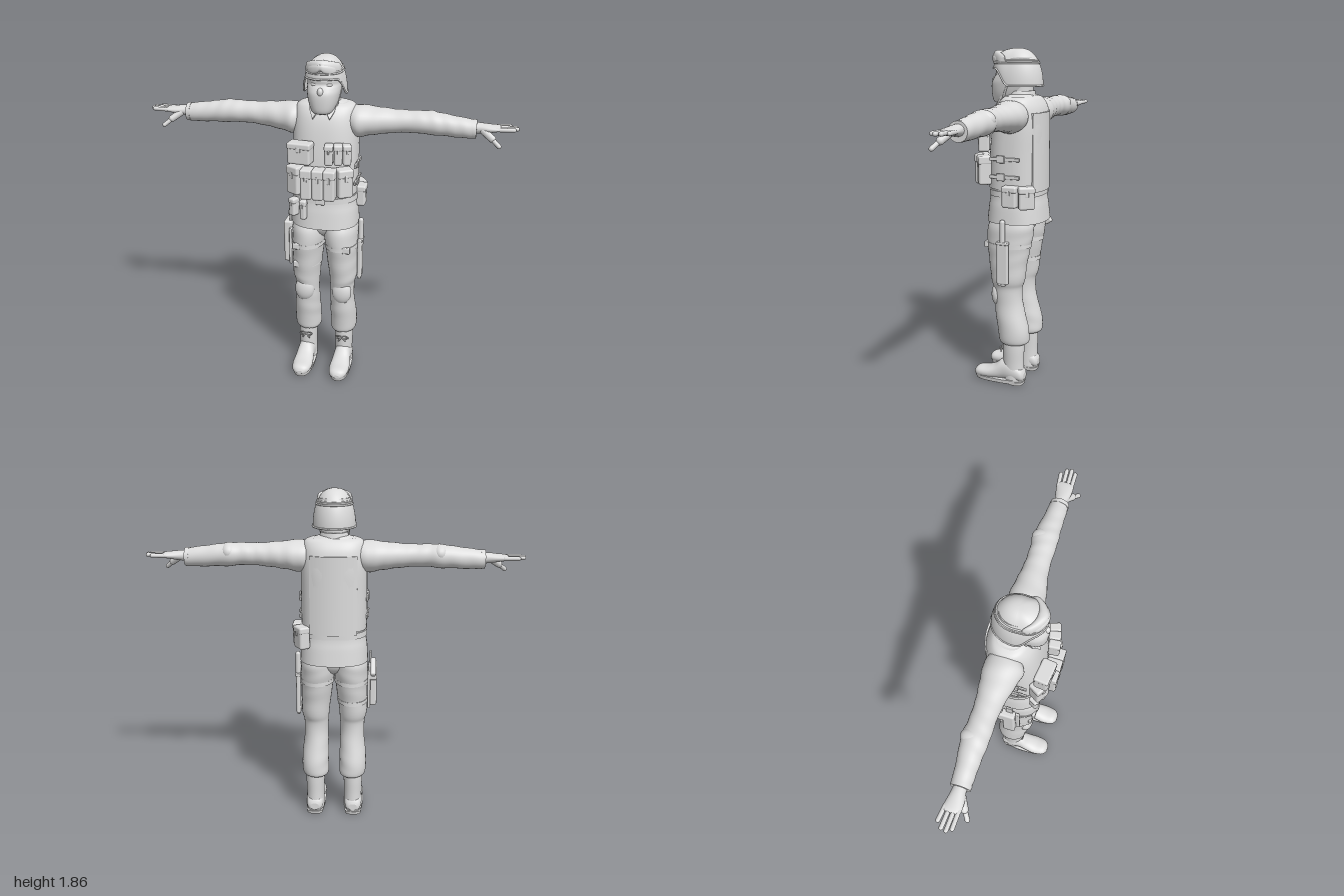
import * as THREE from 'three';
import { RoundedBoxGeometry } from 'three/addons/geometries/RoundedBoxGeometry.js';

const grey = new THREE.MeshStandardMaterial({ color: 0xdcdcdc });
grey.name = 'plain grey';
const greyThin = grey.clone();
greyThin.side = THREE.DoubleSide;

// Smooth tube of superellipse sections [pos, centreA, centreB, radiusA, radiusB].
// Axis y uses a=x b=z, axis x uses a=z b=y, axis z uses a=y b=x.
function loft(axis, secs, { n = 32, p = 2, steps = 5, fold = 0, freq = 60 } = {}) {
  const rows = [];
  const at = i => secs[Math.min(secs.length - 1, Math.max(0, i))];
  for (let i = 0; i < secs.length - 1; i++) {
    for (let s = 0; s < steps + (i === secs.length - 2 ? 1 : 0); s++) {
      const t = s / steps;
      rows.push(at(i).map((b, k) => {
        const a = at(i - 1)[k], c = at(i + 1)[k], d = at(i + 2)[k];
        return b + 0.5 * t * (c - a + t * (2 * a - 5 * b + 4 * c - d + t * (3 * (b - c) + d - a)));
      }));
    }
  }
  const pos = [], idx = [];
  const put = (q, a, b) => pos.push(...(axis === 'y' ? [a, q, b] : axis === 'x' ? [q, b, a] : [b, a, q]));
  const pw = v => Math.sign(v) * Math.abs(v) ** (2 / p);
  const ring = r => {
    for (let i = 0; i < n; i++) {
      const g = i / n * Math.PI * 2;
      const f = 1 + fold * Math.sin(r[0] * freq + 2 * Math.sin(g + r[0] * 9));
      put(r[0], r[1] + r[3] * f * pw(Math.cos(g)), r[2] + r[4] * f * pw(Math.sin(g)));
    }
  };
  rows.forEach(ring);
  for (let j = 0; j < rows.length - 1; j++) for (let i = 0; i < n; i++) {
    const a = j * n + i, b = j * n + (i + 1) % n;
    idx.push(a, a + n, b, b, a + n, b + n);
  }
  [rows[0], rows[rows.length - 1]].forEach((r, e) => {
    const s = pos.length / 3;
    ring(r);
    put(r[0], r[1], r[2]);
    for (let i = 0; i < n; i++) {
      const a = s + i, b = s + (i + 1) % n;
      idx.push(s + n, e ? b : a, e ? a : b);
    }
  });
  const geo = new THREE.BufferGeometry();
  geo.setAttribute('position', new THREE.Float32BufferAttribute(pos, 3));
  geo.setIndex(idx);
  geo.computeVertexNormals();
  return geo;
}

// Reflection in x with the winding restored
function mirror(geo) {
  const g = geo.index ? geo.toNonIndexed() : geo.clone();
  g.scale(-1, 1, 1);
  for (const at of Object.values(g.attributes)) {
    const s = at.itemSize, a = at.array;
    for (let i = 0; i < a.length; i += 3 * s) for (let k = 0; k < s; k++)
      [a[i + s + k], a[i + 2 * s + k]] = [a[i + 2 * s + k], a[i + s + k]];
  }
  return g;
}

function capsule(a, b, r) {
  const A = new THREE.Vector3(...a), B = new THREE.Vector3(...b), d = B.clone().sub(A);
  const g = new THREE.CapsuleGeometry(r, d.length(), 5, 12);
  g.applyQuaternion(new THREE.Quaternion().setFromUnitVectors(new THREE.Vector3(0, 1, 0), d.normalize()));
  return g.translate(...A.add(B).multiplyScalar(0.5).toArray());
}
const ball = (x, y, z, a, b, c) => new THREE.SphereGeometry(1, 24, 16).scale(a, b, c).translate(x, y, z);
const box = (x, y, z, w, h, d, r = 0.006) =>
  new RoundedBoxGeometry(w, h, d, 2, Math.min(r, w / 2.2, h / 2.2, d / 2.2)).translate(x, y, z);

export function createModel() {
  const root = new THREE.Group();
  const add = (name, geo, mat = grey, parent = root) => {
    const m = new THREE.Mesh(geo, mat);
    m.name = name;
    parent.add(m);
  };
  const pair = (name, geo) => {
    add('left ' + name, geo);
    add('right ' + name, mirror(geo));
  };
  // Pouch with flap and tab, its outside facing local +z
  const pouch = (name, x, y, z, w, h, d, ry = 0) => {
    const g = new THREE.Group();
    g.name = name;
    g.position.set(x, y, z);
    g.rotation.y = ry;
    add('body', box(0, 0, 0, w, h, d, 0.012), grey, g);
    add('flap', box(0, h * 0.36, 0.002, w + 0.004, h * 0.3, d + 0.002, 0.01), grey, g);
    add('tab', box(0, h * 0.2, d / 2, w * 0.22, h * 0.22, 0.008, 0.003), grey, g);
    root.add(g);
  };

  // Jacket, vest and belt
  add('jacket', loft('y', [[0.935, 0, -0.032, 0.186, 0.163], [1.02, 0, -0.032, 0.181, 0.153], [1.1, 0, -0.032, 0.172, 0.143],
    [1.3, 0, -0.035, 0.173, 0.14], [1.45, 0, -0.043, 0.174, 0.134], [1.54, 0, -0.048, 0.174, 0.118],
    [1.585, 0, -0.05, 0.16, 0.092], [1.61, 0, -0.05, 0.1, 0.07], [1.62, 0, -0.05, 0.06, 0.06]], { n: 48, p: 2.4 }));
  add('vest', loft('y', [[1.12, 0, -0.033, 0.176, 0.151], [1.3, 0, -0.036, 0.177, 0.149], [1.45, 0, -0.045, 0.175, 0.142],
    [1.54, 0, -0.05, 0.168, 0.126], [1.59, 0, -0.051, 0.155, 0.098], [1.607, 0, -0.05, 0.12, 0.075]], { n: 48, p: 2.5 }));
  const panel = new THREE.BoxGeometry(0.25, 0.42, 0.014, 16, 1, 1);
  const pp = panel.attributes.position;
  for (let i = 0; i < pp.count; i++) pp.setZ(i, pp.getZ(i) + 1.9 * pp.getX(i) ** 2);
  panel.computeVertexNormals();
  add('back panel', panel.translate(0, 1.315, -0.183));
  add('belt', loft('y', [[1.08, 0, -0.032, 0.179, 0.15], [1.112, 0, -0.032, 0.178, 0.15]], { n: 48, p: 2.4, steps: 1 }));
  add('belt buckle', box(0, 1.096, 0.118, 0.05, 0.04, 0.012));

  // Side straps with buckles
  for (const y of [1.19, 1.285]) {
    pair('side strap', box(0.177, y, -0.02, 0.012, 0.02, 0.17, 0.004));
    pair('side buckle', box(0.183, y, 0, 0.012, 0.04, 0.045, 0.004));
  }

  // Chest pouches
  for (const x of [-0.062, 0, 0.062]) pouch('magazine pouch', x, 1.21, 0.154, 0.06, 0.165, 0.08);
  for (const s of [-1, 1]) pouch('side magazine pouch', s * 0.13, 1.215, 0.118, 0.082, 0.155, 0.07, s * 0.55);
  pouch('radio pouch', -0.1, 1.37, 0.136, 0.125, 0.115, 0.075, -0.12);
  [0.052, 0.098, 0.141].forEach((x, i) => pouch('small magazine pouch', x, 1.37, 0.138 - i * 0.012, 0.044, 0.11, 0.06, 0.1 + i * 0.12));

  // Belt pouches
  pouch('belt tool pouch', -0.148, 1.05, 0.1, 0.04, 0.1, 0.05, -0.5);
  pouch('belt tool pouch', -0.09, 1.045, 0.127, 0.035, 0.11, 0.035, -0.2);
  pouch('hip pouch', 0.19, 1.09, -0.058, 0.08, 0.115, 0.06, 1.57);
  pouch('rear hip pouch', 0.168, 1.085, -0.14, 0.085, 0.12, 0.06, 2.1);

  // Collar and neck
  add('neck', loft('y', [[1.54, 0, -0.045, 0.07, 0.072], [1.6, 0, -0.04, 0.064, 0.068], [1.7, 0, -0.035, 0.065, 0.075]]));
  add('collar', loft('y', [[1.57, 0, -0.043, 0.092, 0.085], [1.6, 0, -0.043, 0.082, 0.08], [1.635, 0, -0.045, 0.07, 0.072]]));
  const flap = new THREE.Shape([[0.04, -0.045], [0.066, 0], [0.075, 0.035], [0.005, 0.03]].map(q => new THREE.Vector2(...q)));
  pair('collar point', new THREE.ExtrudeGeometry(flap, { depth: 0.01, bevelEnabled: false })
    .rotateX(-0.6).rotateY(0.2).translate(0, 1.575, 0.07));

  // Masked head
  add('head', loft('y', [[1.565, 0, 0.045, 0.036, 0.045], [1.578, 0, 0.042, 0.056, 0.07], [1.62, 0, 0.026, 0.075, 0.094],
    [1.67, 0, 0.012, 0.086, 0.108], [1.7, 0, -0.005, 0.089, 0.112], [1.72, 0, -0.016, 0.09, 0.11],
    [1.75, 0, -0.018, 0.09, 0.112], [1.81, 0, -0.03, 0.08, 0.09]], { p: 2.3 }));
  add('nose', ball(0, 1.686, 0.108, 0.016, 0.022, 0.017));
  pair('eye', ball(0.034, 1.719, 0.077, 0.022, 0.011, 0.014));
  pair('chin strap', capsule([0.09, 1.7, -0.01], [0.07, 1.605, 0.03], 0.006));

  // Helmet: a dome whose lower edge rises over the face
  const top = 1.855, hz = -0.026;
  const edge = g => 1.662 + 0.088 * THREE.MathUtils.smoothstep(Math.sin(g), 0.1, 0.75);
  const dome = (g, c, off = 0) => {
    const r = Math.sqrt(Math.max(0, 1 - c * c)) ** 0.8;
    return new THREE.Vector3((0.113 * r + off) * Math.cos(g), edge(g) + (top - edge(g)) * c, hz + (0.136 * r + off) * Math.sin(g));
  };
  const shell = new THREE.SphereGeometry(1, 48, 20, 0, Math.PI * 2, 0, Math.PI / 2);
  const sp = shell.attributes.position;
  for (let i = 0; i < sp.count; i++) {
    const v = dome(Math.atan2(sp.getZ(i), sp.getX(i)), Math.max(0, sp.getY(i)));
    sp.setXYZ(i, v.x, v.y, v.z);
  }
  shell.computeVertexNormals();
  add('helmet shell', shell, greyThin);
  const loop = f => new THREE.CatmullRomCurve3(Array.from({ length: 40 }, (_, i) => f(i / 40 * Math.PI * 2)), true);
  add('helmet rim', new THREE.TubeGeometry(loop(g => dome(g, 0)), 80, 0.005, 8, true));
  for (const y of [1.778, 1.786, 1.794])
    add('goggle strap', new THREE.TubeGeometry(loop(g => dome(g, (y - edge(g)) / (top - edge(g)))), 80, 0.005, 8, true));

  // Goggles pushed up on the helmet, sagging at the ends and notched over the nose
  const bow = (z, y, rz, ry, w, notch) => [-1, -0.9, -0.6, -0.25, 0, 0.25, 0.6, 0.9, 1].map(t => {
    const cut = notch * Math.max(0, 1 - Math.abs(t) * 2.5), end = Math.abs(t) === 1 ? 0.45 : 1 - 0.25 * t * t;
    return [t * w, z - 0.058 * t * t * (w / 0.09) ** 2, y + cut - 0.014 * t * t, rz * end, (ry - cut) * end];
  });
  add('goggle frame', loft('x', bow(0.086, 1.803, 0.028, 0.041, 0.092, 0.012), { p: 2.4, n: 24 }));
  add('goggle lens', loft('x', bow(0.095, 1.801, 0.024, 0.028, 0.076, 0.01), { p: 2.6, n: 24 }));

  // Sleeves and hands
  pair('sleeve', loft('x', [[0.135, -0.05, 1.512, 0.085, 0.078], [0.18, -0.05, 1.508, 0.1, 0.085], [0.26, -0.055, 1.512, 0.086, 0.074],
    [0.38, -0.06, 1.515, 0.066, 0.061], [0.48, -0.062, 1.517, 0.064, 0.059], [0.55, -0.066, 1.514, 0.068, 0.062],
    [0.62, -0.064, 1.509, 0.06, 0.058], [0.72, -0.06, 1.5, 0.052, 0.053], [0.785, -0.058, 1.497, 0.048, 0.048]], { fold: 0.02, freq: 70 }));
  pair('elbow fold', ball(0.55, 1.53, -0.074, 0.045, 0.047, 0.062));
  pair('cuff', loft('x', [[0.765, -0.058, 1.498, 0.051, 0.05], [0.787, -0.058, 1.498, 0.049, 0.049]], { steps: 1 }));
  pair('palm', loft('x', [[0.76, -0.058, 1.503, 0.033, 0.03], [0.8, -0.058, 1.505, 0.034, 0.028], [0.85, -0.058, 1.506, 0.042, 0.022],
    [0.895, -0.062, 1.508, 0.046, 0.015], [0.908, -0.062, 1.508, 0.038, 0.009]]));
  [[-0.096, -0.104, 0.955], [-0.073, -0.079, 0.983], [-0.05, -0.054, 0.989], [-0.028, -0.03, 0.973]].forEach(([z0, z1, x]) =>
    pair('finger', capsule([0.885, 1.508, z0], [x, 1.51, z1], 0.011)));
  pair('thumb base', capsule([0.82, 1.497, -0.038], [0.868, 1.464, -0.012], 0.019));
  pair('thumb', capsule([0.868, 1.463, -0.01], [0.905, 1.433, 0.012], 0.012));

  // Trousers and knee pads
  pair('trouser leg', loft('y', [[0.24, 0.1, -0.045, 0.062, 0.07], [0.255, 0.104, -0.047, 0.073, 0.084], [0.3, 0.107, -0.045, 0.076, 0.088],
    [0.38, 0.105, -0.03, 0.074, 0.087], [0.48, 0.102, -0.012, 0.068, 0.08], [0.56, 0.102, -0.008, 0.069, 0.083],
    [0.61, 0.105, -0.01, 0.077, 0.095], [0.72, 0.1, -0.01, 0.084, 0.11], [0.82, 0.094, -0.013, 0.092, 0.126],
    [0.9, 0.09, -0.02, 0.094, 0.132], [0.96, 0.085, -0.03, 0.085, 0.11]], { fold: 0.012, freq: 55 }));
  add('trouser seat', ball(0, 0.93, -0.025, 0.15, 0.085, 0.105));
  pair('knee pad', ball(0.108, 0.52, 0.045, 0.056, 0.072, 0.038));

  // Boots
  pair('boot shaft', loft('y', [[0.03, 0.108, -0.045, 0.052, 0.062], [0.12, 0.108, -0.043, 0.05, 0.06],
    [0.2, 0.108, -0.043, 0.053, 0.062], [0.27, 0.106, -0.043, 0.055, 0.062]]));
  pair('boot foot', loft('z', [[-0.112, 0.05, 0.11, 0.02, 0.025], [-0.095, 0.058, 0.11, 0.04, 0.044], [-0.04, 0.075, 0.11, 0.06, 0.051],
    [0.015, 0.078, 0.11, 0.062, 0.049], [0.06, 0.06, 0.11, 0.045, 0.054], [0.11, 0.049, 0.11, 0.034, 0.058],
    [0.16, 0.045, 0.11, 0.03, 0.05], [0.18, 0.042, 0.11, 0.022, 0.035], [0.19, 0.038, 0.11, 0.01, 0.018]], { p: 2.2 }));
  pair('boot sole', loft('y', [[0.007, 0.11, 0.04, 0.055, 0.143], [0.028, 0.11, 0.04, 0.058, 0.15]], { p: 2.5, steps: 1 }));
  pair('boot heel', loft('y', [[0, 0.11, -0.06, 0.046, 0.045], [0.02, 0.11, -0.06, 0.049, 0.05]], { p: 3, steps: 1 }));
  for (const z of [0.05, 0.085, 0.12, 0.15]) pair('sole tread', box(0.11, 0.007, z, 0.09 - Math.max(0, z - 0.1) * 0.6, 0.014, 0.022, 0.003));
  for (const s of [-1, 1]) {
    pair('lace bow', new THREE.TorusGeometry(0.015, 0.004, 6, 16).scale(1.2, 0.6, 1).translate(0.108 + s * 0.018, 0.205, 0.026));
    pair('lace end', capsule([0.108, 0.203, 0.026], [0.108 + s * 0.02, 0.18, 0.026], 0.004));
  }

  // Thigh straps, holster on the right leg, knife sheath on the left
  for (const [s, y, cx, rx, rz] of [[-1, 0.81, 0.095, 0.094, 0.127], [-1, 0.69, 0.102, 0.084, 0.107], [1, 0.81, 0.095, 0.094, 0.127]]) {
    add('thigh strap', loft('y', [[y - 0.011, s * cx, -0.012, rx, rz], [y + 0.011, s * cx, -0.012, rx, rz]], { steps: 1 }));
    add('thigh buckle', box(s * 0.14, y, rz - 0.028, 0.045, 0.036, 0.02));
  }
  add('holster plate', box(-0.193, 0.77, -0.03, 0.016, 0.22, 0.12));
  add('holster body', box(-0.215, 0.765, -0.025, 0.042, 0.2, 0.07, 0.012));
  add('holster top', box(-0.213, 0.87, -0.04, 0.048, 0.09, 0.1, 0.012));
  add('pistol grip', box(0, 0, 0, 0.03, 0.1, 0.045, 0.01).rotateX(0.6).translate(-0.215, 0.91, -0.105));
  add('holster hanger', box(-0.2, 0.93, -0.025, 0.012, 0.09, 0.04, 0.004));
  add('knife sheath', box(0.2, 0.72, -0.017, 0.026, 0.23, 0.066, 0.01));
  add('sheath tip', box(0.2, 0.612, -0.012, 0.02, 0.035, 0.045, 0.008));
  add('knife guard', box(0.202, 0.835, -0.017, 0.03, 0.016, 0.07, 0.005));
  add('knife handle', capsule([0.202, 0.84, -0.017], [0.202, 0.95, -0.017], 0.015));
  return root;
}
